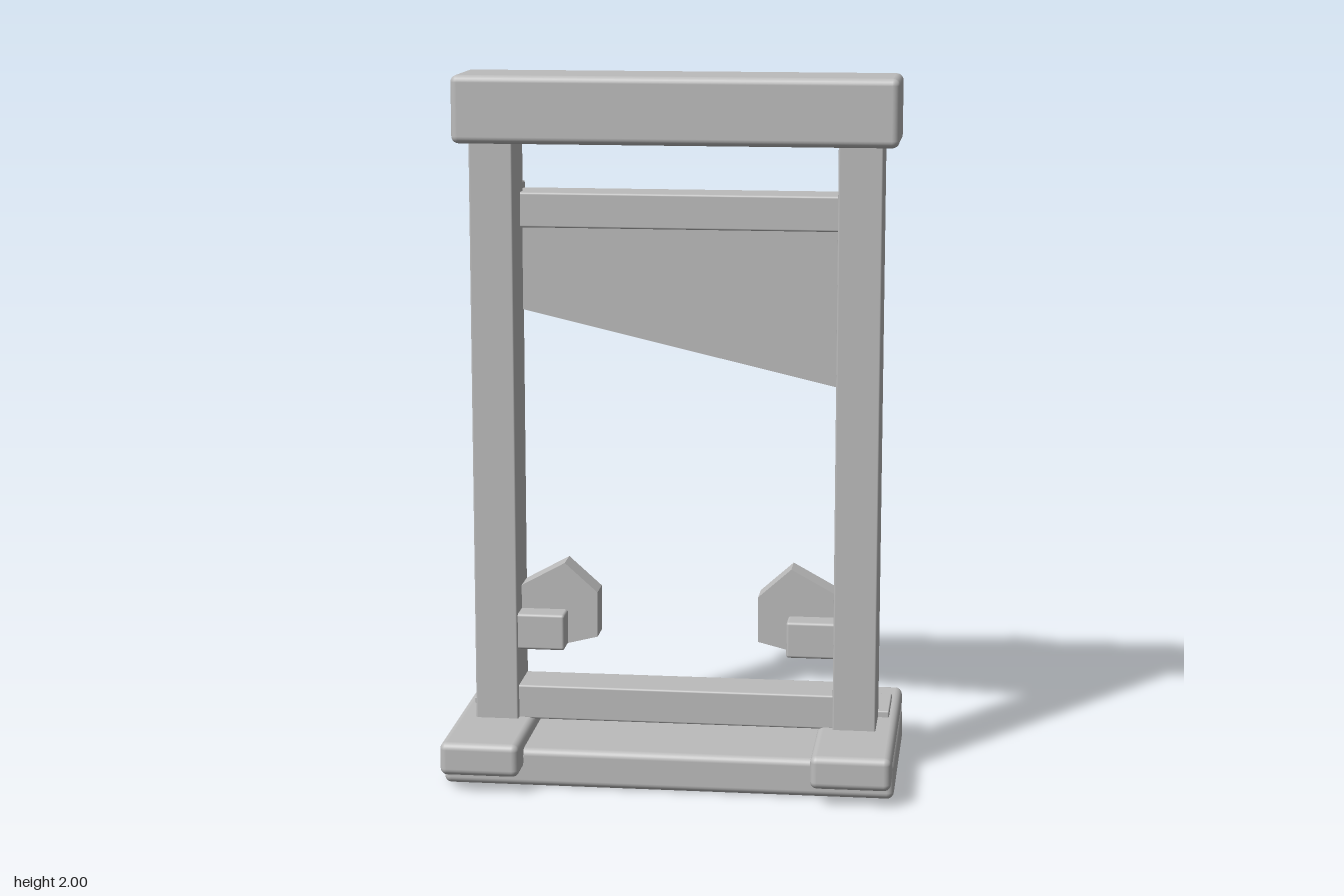
import * as THREE from 'three';
import { RoundedBoxGeometry } from 'three/addons/geometries/RoundedBoxGeometry.js';

export function createModel() {
  const model = new THREE.Group();
  model.name = 'bladeFrame';
  const grey = new THREE.MeshStandardMaterial({ color: 0xbcbcbc });
  grey.name = 'plain grey';

  const add = (name, geometry, x = 0, y = 0, z = 0) => {
    const mesh = new THREE.Mesh(geometry, grey);
    mesh.name = name;
    mesh.position.set(x, y, z);
    model.add(mesh);
    return mesh;
  };
  // Box given by its limits, with optional rounded edges
  const box = (name, [x0, x1], [y0, y1], [z0, z1], r = 0) => {
    const size = [x1 - x0, y1 - y0, z1 - z0];
    const geometry = r ? new RoundedBoxGeometry(...size, 3, r) : new THREE.BoxGeometry(...size);
    return add(name, geometry, (x0 + x1) / 2, (y0 + y1) / 2, (z0 + z1) / 2);
  };
  // The same box on both sides
  const pair = (name, [x0, x1], ys, zs, r) => {
    box('left' + name, [x0, x1], ys, zs, r);
    box('right' + name, [-x1, -x0], ys, zs, r);
  };
  // Disc facing front and back
  const disc = (name, radius, [z0, z1], x, y, sides = 24) =>
    add(name, new THREE.CylinderGeometry(radius, radius, z1 - z0, sides).rotateX(Math.PI / 2), x, y, (z0 + z1) / 2);
  // Flat outline given a thickness
  const slab = (name, points, [z0, z1]) => {
    const shape = new THREE.Shape(points.map(([x, y]) => new THREE.Vector2(x, y)));
    return add(name, new THREE.ExtrudeGeometry(shape, { depth: z1 - z0, bevelEnabled: false }), 0, 0, z0);
  };

  // Base and feet
  box('base', [-0.64, 0.64], [0, 0.11], [-0.28, 0.275], 0.02);
  pair('Foot', [0.41, 0.635], [0.05, 0.145], [-0.365, 0.36], 0.02);
  pair('FootPlate', [0.435, 0.61], [0.14, 0.163], [-0.225, -0.04], 0.004);

  // Frame
  pair('Post', [0.455, 0.578], [0.12, 1.83], [-0.072, 0.1], 0.005);
  box('topBeam', [-0.622, 0.622], [1.81, 2], [-0.113, 0.135], 0.02);
  box('lowerCrossbar', [-0.47, 0.47], [0.14, 0.24], [-0.07, 0.08], 0.006);

  // Strip and round pulley on the back of the beam
  box('beamStrip', [-0.56, 0.56], [1.94, 1.965], [-0.127, -0.1]);
  add('pulleyRim', new THREE.TorusGeometry(0.078, 0.018, 12, 32), 0, 1.89, -0.14);
  disc('pulleyWeb', 0.08, [-0.148, -0.125], 0, 1.89, 32);
  disc('pulleyHub', 0.05, [-0.17, -0.1], 0, 1.89, 32);

  // Blade carriage
  box('bladeBar', [-0.48, 0.48], [1.56, 1.66], [-0.155, -0.02], 0.006);
  pair('SlideBlock', [0.465, 0.565], [1.505, 1.68], [-0.165, -0.067], 0.006);
  const edgeY = (x) => 1.215 - 0.231 * x;
  slab('blade', [[-0.46, edgeY(-0.46)], [0.46, edgeY(0.46)], [0.46, 1.58], [-0.46, 1.58]], [-0.08, -0.055]);
  slab('bladeEdge', [[-0.455, edgeY(-0.455)], [0.455, edgeY(0.455)],
    [0.455, edgeY(0.455) + 0.03], [-0.455, edgeY(-0.455) + 0.03]], [-0.09, -0.07]);

  for (const side of [1, -1]) {
    const label = side > 0 ? 'left' : 'right';
    // Guide rods and bolts
    add(label + 'GuideRod', new THREE.CylinderGeometry(0.023, 0.023, 1.71, 20), side * 0.515, 1.015, -0.097);
    disc(label + 'RodBolt', 0.017, [-0.127, -0.09], side * 0.515, 0.28, 12);
    disc(label + 'BladeBolt', 0.02, [-0.095, -0.07], side * 0.36, 1.49, 12);
    // Six-sided stops at the foot of the posts
    const stop = [[0.233, 0.376], [0.36, 0.344], [0.47, 0.4], [0.47, 0.515], [0.328, 0.593], [0.233, 0.508]];
    slab(label + 'Stop', stop.map(([x, y]) => [side * x, y]), [-0.065, 0.02]);
  }
  pair('StopBracket', [0.32, 0.47], [0.35, 0.455], [-0.078, 0.09], 0.008);

  return model;
}
